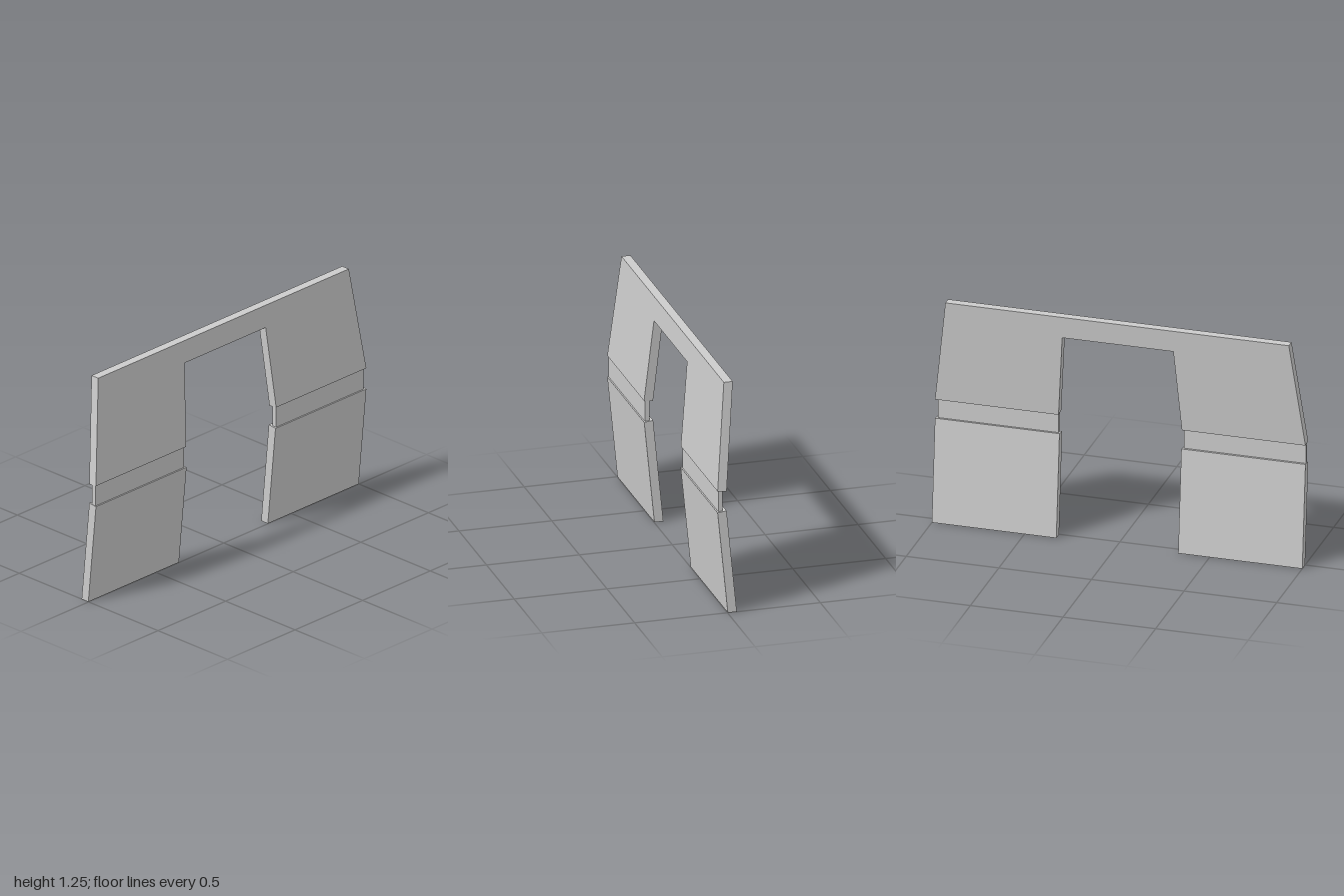
import * as THREE from 'three';

const T = 0.048; // panel thickness along z

// Extrude an outline, then lean it so its front face follows frontZ(y).
// Back corners lying on the joint edge move by backDrop, squaring that edge to the lean.
function leaningPanel(name, points, frontZ, jointY, backDrop, material) {
  const shape = new THREE.Shape(points.map(([x, y]) => new THREE.Vector2(x, y)));
  const geo = new THREE.ExtrudeGeometry(shape, { depth: T, bevelEnabled: false });
  const p = geo.attributes.position;
  for (let i = 0; i < p.count; i++) {
    let y = p.getY(i);
    const isBack = p.getZ(i) < T / 2;
    const z = frontZ(y) - (isBack ? T : 0);
    if (isBack && Math.abs(y - jointY) < 1e-4) y += backDrop;
    p.setXYZ(i, p.getX(i), y, z);
  }
  geo.computeVertexNormals();
  const mesh = new THREE.Mesh(geo, material);
  mesh.name = name;
  return mesh;
}

export function createModel() {
  const group = new THREE.Group();
  group.name = 'foldedArchPanel';
  const material = new THREE.MeshStandardMaterial({ color: 0xcccccc, flatShading: true });

  const lowTop = 0.56, upBottom = 0.678, top = 1.25;
  const bulge = 0.053, rim = -0.002;

  // Upper arch: tapered sides and opening, leaning back towards the top
  group.add(leaningPanel('upperArch', [
    [-1, upBottom], [-0.333, upBottom], [-0.3, 1.13], [0.3, 1.13],
    [0.333, upBottom], [1, upBottom], [0.927, top], [-0.927, top],
  ], (y) => THREE.MathUtils.mapLinear(y, upBottom, top, bulge, rim), upBottom, -0.006, material));

  for (const [side, x0, x1, b0, b1] of [
    ['right', -1, -0.33, -0.997, -0.34],
    ['left', 0.328, 1, 0.338, 0.988],
  ]) {
    // Lower leg panel, leaning forward towards the joint
    group.add(leaningPanel(side + 'LowerPanel',
      [[x0, 0], [x1, 0], [x1, lowTop], [x0, lowTop]],
      (y) => THREE.MathUtils.mapLinear(y, 0, lowTop, rim, bulge), lowTop, 0.006, material));

    // Thin recessed strip joining the panels
    const strip = new THREE.Mesh(new THREE.BoxGeometry(b1 - b0, 0.13, 0.024), material);
    strip.position.set((b0 + b1) / 2, 0.62, 0.034);
    strip.name = side + 'JointStrip';
    group.add(strip);
  }
  return group;
}
